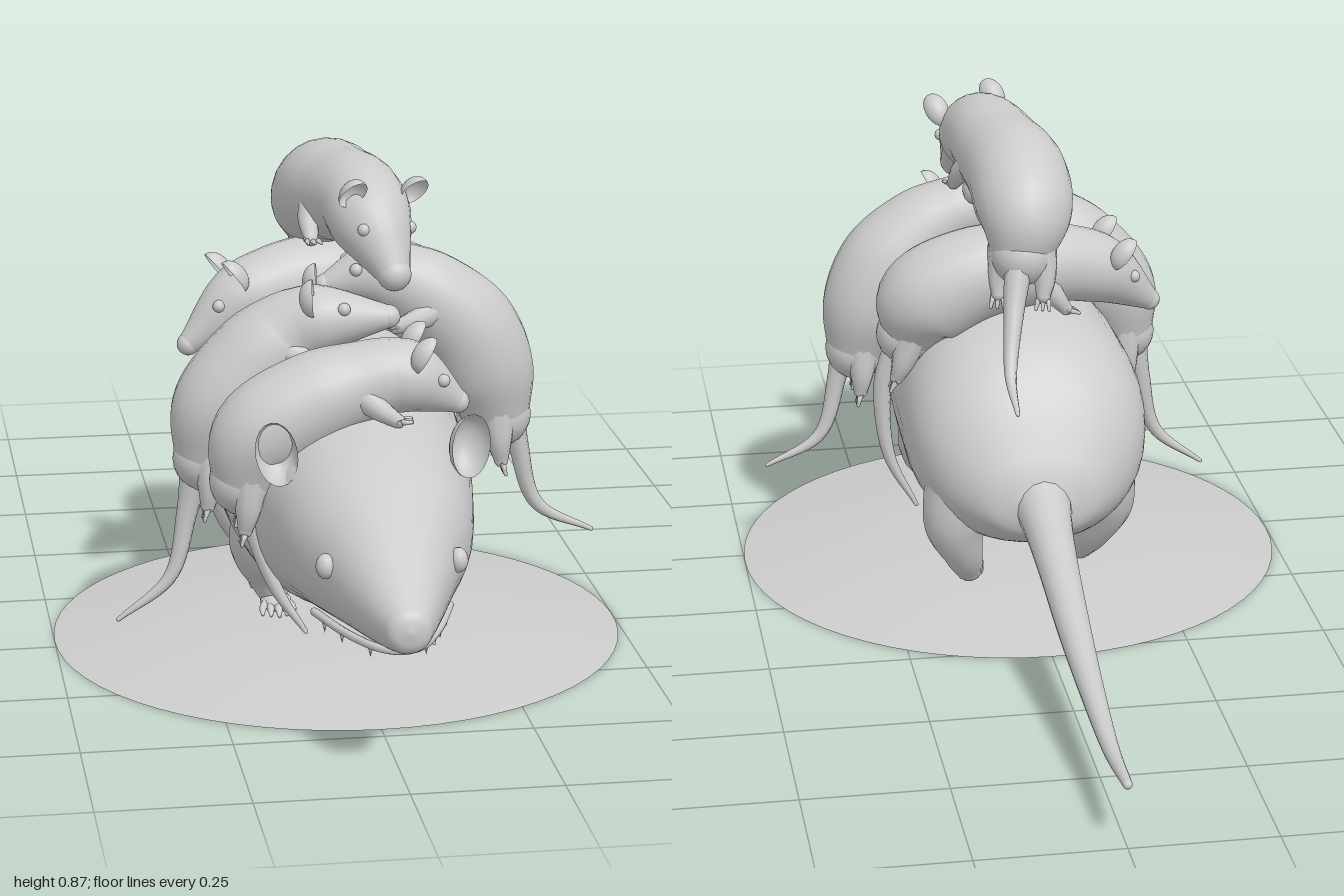
import * as THREE from 'three';
import { mergeVertices } from 'three/addons/utils/BufferGeometryUtils.js';

const V = (a) => new THREE.Vector3(a[0], a[1], a[2]);
const material = new THREE.MeshStandardMaterial({ color: 0xcccccc, roughness: 0.8 });
const thinMaterial = new THREE.MeshStandardMaterial({ color: 0xcccccc, roughness: 0.8, side: THREE.DoubleSide });

function add(parent, name, geometry, mat = material) {
  const mesh = new THREE.Mesh(geometry, mat);
  mesh.name = name;
  parent.add(mesh);
  return mesh;
}

function smooth(geometry) {
  geometry.deleteAttribute('uv');
  geometry.deleteAttribute('normal');
  const merged = mergeVertices(geometry, 1e-5);
  merged.computeVertexNormals();
  return merged;
}

function ball(parent, name, center, rx, ry = rx, rz = rx, sides = 16) {
  const mesh = add(parent, name, new THREE.SphereGeometry(1, sides, Math.ceil(sides / 2)));
  mesh.position.copy(center);
  mesh.scale.set(rx, ry, rz);
}

// Tube through [x, y, z, radius] points, with rounded ends
function limb(parent, name, pts, segments = 24, sides = 16) {
  const curve = new THREE.CatmullRomCurve3(pts.map(V), false, 'catmullrom');
  const radii = new THREE.CatmullRomCurve3(pts.map((p) => new THREE.Vector3(p[3], 0, 0)), false, 'catmullrom');
  const g = new THREE.TubeGeometry(curve, segments, 1, sides);
  const pos = g.attributes.position, v = new THREE.Vector3();
  for (let i = 0; i < pos.count; i++) {
    const u = Math.floor(i / (sides + 1)) / segments;
    const c = curve.getPointAt(u);
    const r = radii.getPoint(curve.getUtoTmapping(u)).x;
    v.fromBufferAttribute(pos, i).sub(c).multiplyScalar(r).add(c);
    pos.setXYZ(i, v.x, v.y, v.z);
  }
  add(parent, name, smooth(g));
  for (const p of [pts[0], pts[pts.length - 1]]) ball(parent, name + 'End', V(p), p[3], p[3], p[3], sides);
}

// Slightly squared oval loft along z from [z, bottom, top, halfWidth] sections
function ovalLoft(parent, name, sections) {
  const heights = new THREE.CatmullRomCurve3(sections.map(V), false, 'catmullrom');
  const widths = new THREE.CatmullRomCurve3(sections.map((s) => new THREE.Vector3(s[3], 0, 0)), false, 'catmullrom');
  const g = new THREE.PlaneGeometry(1, 1, 40, 80);
  const pos = g.attributes.position;
  const square = (n) => Math.sign(n) * Math.abs(n) ** 0.93;
  for (let i = 0; i < pos.count; i++) {
    const a = (pos.getX(i) + 0.5) * Math.PI * 2, t = pos.getY(i) + 0.5;
    const h = heights.getPoint(t), w = Math.max(widths.getPoint(t).x, 0);
    pos.setXYZ(i, square(Math.cos(a)) * w, (h.y + h.z) / 2 + square(Math.sin(a)) * (h.z - h.y) / 2, h.x);
  }
  add(parent, name, smooth(g));
}

// Cupped ear opening towards dir
function ear(parent, center, side, up, dir, w, h, depth) {
  const g = new THREE.SphereGeometry(1, 20, 8, 0, Math.PI * 2, 0, Math.PI / 2);
  g.rotateX(-Math.PI / 2).scale(w, h, depth);
  g.applyMatrix4(new THREE.Matrix4().makeBasis(side, up, dir));
  add(parent, 'ear', g, thinMaterial).position.copy(center);
}

// Young animal draped along a path; up points away from the mother's axis
function baby(parent, name, path, tail) {
  const group = new THREE.Group();
  group.name = name;
  parent.add(group);
  limb(group, 'babyBody', path, 40, 24);
  limb(group, 'babyTail', tail, 20, 8);

  const frame = (i, j) => {
    const p = V(path[i]), dir = V(path[j]).sub(p).normalize();
    const up = p.clone().sub(new THREE.Vector3(0, 0.3, p.z));
    up.addScaledVector(dir, -up.dot(dir)).normalize();
    const side = up.clone().cross(dir).normalize();
    const at = (s, u, f) => p.clone().addScaledVector(side, s).addScaledVector(up, u).addScaledVector(dir, f);
    return { dir, up, side, at, r: path[i][3] };
  };
  const n = path.length, head = frame(n - 2, n - 1), chest = frame(n - 4, n - 3), rump = frame(0, 1);
  const pt = (v, r) => [v.x, v.y, v.z, r];
  for (const s of [-1, 1]) {
    const r = head.r, c = chest.r, q = rump.r;
    ear(group, head.at(s * r * 0.9, r * 0.9, -0.02), head.side, head.up, head.dir, 0.023, 0.033, 0.024);
    ball(group, 'eye', head.at(s * r * 0.68, r * 0.46, 0.03), 0.011);
    limb(group, 'babyArm', [pt(chest.at(s * c * 0.65, -c * 0.1, 0), 0.026),
      pt(chest.at(s * c * 0.85, -c * 0.5, 0.025), 0.019),
      pt(chest.at(s * c * 0.9, -c * 0.85, 0.05), 0.012)], 10, 10);
    limb(group, 'babyLeg', [pt(rump.at(s * q * 0.5, 0, 0.02), 0.036),
      pt(rump.at(s * q * 0.75, -q * 0.2, -0.035), 0.022),
      pt(rump.at(s * q * 0.75, -q * 0.3, -0.07), 0.013)], 10, 10);
    for (let k = -1; k <= 1; k++) {
      limb(group, 'babyToe', [pt(rump.at(s * q * 0.75 + k * 0.008, -q * 0.3, -0.07), 0.006),
        pt(rump.at(s * q * 0.75 + k * 0.012, -q * 0.3, -0.095), 0.003)], 3, 6);
      limb(group, 'babyFinger', [pt(chest.at(s * c * 0.9 + k * 0.008, -c * 0.85, 0.05), 0.006),
        pt(chest.at(s * c * 0.9 + k * 0.012, -c * 0.9, 0.072), 0.003)], 3, 6);
    }
  }
}

export function createModel() {
  const model = new THREE.Group();

  // Domed round base
  const base = new THREE.Group();
  base.name = 'base';
  base.position.z = 0.22;
  model.add(base);
  const dome = [[0.5, 0], [0.42, 0.013], [0.32, 0.028], [0.22, 0.039], [0.12, 0.042], [0, 0.042]];
  add(base, 'baseTop', new THREE.LatheGeometry(dome.map((p) => new THREE.Vector2(...p)), 64));
  add(base, 'baseUnderside', new THREE.CircleGeometry(0.5, 64).rotateX(Math.PI / 2));

  // Mother: body and head in one loft
  const mother = new THREE.Group();
  mother.name = 'mother';
  model.add(mother);
  ovalLoft(mother, 'motherBody', [
    [-0.205, 0.25, 0.25, 0], [-0.195, 0.205, 0.285, 0.055], [-0.17, 0.18, 0.345, 0.115], [-0.1, 0.145, 0.455, 0.185],
    [0, 0.12, 0.525, 0.218], [0.15, 0.108, 0.545, 0.218], [0.3, 0.105, 0.535, 0.212], [0.45, 0.12, 0.515, 0.198],
    [0.58, 0.155, 0.49, 0.177], [0.7, 0.18, 0.46, 0.152], [0.8, 0.195, 0.415, 0.112],
    [0.89, 0.208, 0.36, 0.075], [0.96, 0.222, 0.315, 0.045], [0.99, 0.235, 0.297, 0.03], [1, 0.268, 0.268, 0]]);
  limb(mother, 'motherTail', [[0, 0.265, -0.12, 0.07], [0, 0.24, -0.2, 0.048], [0, 0.205, -0.32, 0.037],
    [0, 0.155, -0.5, 0.029], [0, 0.12, -0.68, 0.021], [0, 0.1, -0.85, 0.014], [0, 0.11, -0.992, 0.008]], 40);
  ball(mother, 'nose', new THREE.Vector3(0, 0.265, 0.978), 0.034, 0.02, 0.02);

  // Lips curving round the snout, with small teeth
  limb(mother, 'mouth', [[-0.112, 0.212, 0.72, 0.007], [-0.078, 0.211, 0.82, 0.007], [-0.038, 0.212, 0.9, 0.007],
    [0, 0.213, 0.925, 0.007], [0.038, 0.212, 0.9, 0.007], [0.078, 0.211, 0.82, 0.007], [0.112, 0.212, 0.72, 0.007]], 40, 8);
  for (const s of [-1, 1]) {
    for (const [x, z] of [[0.045, 0.88], [0.08, 0.81], [0.1, 0.755]]) {
      const tooth = add(mother, 'tooth', new THREE.ConeGeometry(0.006, 0.024, 8).rotateX(Math.PI));
      tooth.position.set(s * x, 0.2, z);
    }
    ball(mother, 'eye', new THREE.Vector3(s * 0.108, 0.322, 0.815), 0.016, 0.021, 0.018);
    const turn = new THREE.Euler(-0.15, s * 0.3, -s * 0.15);
    const axis = (x, y, z) => new THREE.Vector3(x, y, z).applyEuler(turn);
    ear(mother, new THREE.Vector3(s * 0.162, 0.455, 0.635), axis(1, 0, 0), axis(0, 1, 0), axis(0, 0, 1), 0.035, 0.053, 0.045);
  }

  // Legs in mid stride: side, then z of hip, knee, ankle and foot
  for (const [name, s, hip, knee, ankle, foot, r] of [
    ['frontLegLeft', 1, 0.3, 0.33, 0.375, 0.4, 0.065], ['frontLegRight', -1, 0.28, 0.25, 0.215, 0.21, 0.065],
    ['hindLegLeft', 1, -0.05, -0.055, -0.045, -0.01, 0.07], ['hindLegRight', -1, -0.02, 0, 0.02, 0.06, 0.07]]) {
    const leg = new THREE.Group();
    leg.name = name;
    mother.add(leg);
    limb(leg, 'upperLeg', [[s * 0.125, 0.26, hip, r], [s * 0.14, 0.175, knee, r * 0.82],
      [s * 0.125, 0.11, ankle, 0.037], [s * 0.11, 0.065, foot - 0.005, 0.026]]);
    ball(leg, 'foot', new THREE.Vector3(s * 0.108, 0.056, foot + 0.012), 0.028, 0.017, 0.035);
    for (let k = -2; k <= 2; k++) {
      limb(leg, 'toe', [[s * 0.108 + k * 0.009, 0.057, foot + 0.025, 0.008],
        [s * 0.108 + k * 0.013, 0.053, foot + 0.05 - Math.abs(k) * 0.006, 0.007],
        [s * 0.108 + k * 0.014, 0.045, foot + 0.064 - Math.abs(k) * 0.007, 0.003]], 6, 8);
    }
  }

  // Five young, each a body path from rump to snout and a tail path
  baby(model, 'babyFront',
    [[-0.2, 0.38, 0.525, 0.06], [-0.175, 0.46, 0.53, 0.08], [-0.085, 0.515, 0.53, 0.08], [-0.01, 0.54, 0.53, 0.07],
      [0.045, 0.552, 0.535, 0.064], [0.085, 0.545, 0.54, 0.058], [0.155, 0.505, 0.54, 0.02]],
    [[-0.195, 0.36, 0.52, 0.025], [-0.185, 0.29, 0.52, 0.016], [-0.15, 0.19, 0.53, 0.011], [-0.1, 0.112, 0.54, 0.004]]);
  baby(model, 'babySecond',
    [[-0.245, 0.37, 0.36, 0.058], [-0.22, 0.455, 0.36, 0.085], [-0.16, 0.535, 0.36, 0.085], [-0.11, 0.58, 0.365, 0.076],
      [-0.08, 0.602, 0.375, 0.066], [-0.04, 0.615, 0.39, 0.056], [0.06, 0.62, 0.41, 0.02]],
    [[-0.265, 0.35, 0.36, 0.026], [-0.28, 0.27, 0.36, 0.018], [-0.31, 0.16, 0.365, 0.012], [-0.4, 0.087, 0.365, 0.004]]);
  baby(model, 'babyThird',
    [[0.275, 0.4, 0.27, 0.06], [0.255, 0.475, 0.27, 0.085], [0.22, 0.555, 0.275, 0.088], [0.16, 0.615, 0.28, 0.078],
      [0.11, 0.645, 0.28, 0.067], [0.05, 0.66, 0.28, 0.056], [-0.03, 0.645, 0.285, 0.02]],
    [[0.3, 0.42, 0.27, 0.026], [0.315, 0.34, 0.27, 0.018], [0.35, 0.23, 0.265, 0.012], [0.45, 0.176, 0.262, 0.004]]);
  baby(model, 'babyRear',
    [[0.205, 0.485, 0.1, 0.055], [0.17, 0.55, 0.09, 0.09], [0.08, 0.6, 0.08, 0.085], [-0.02, 0.61, 0.085, 0.075],
      [-0.1, 0.6, 0.105, 0.069], [-0.165, 0.575, 0.12, 0.06], [-0.25, 0.51, 0.14, 0.02]],
    [[0.22, 0.47, 0.1, 0.025], [0.25, 0.38, 0.1, 0.017], [0.24, 0.25, 0.1, 0.011], [0.19, 0.147, 0.1, 0.004]]);
  baby(model, 'babyTop',
    [[0.01, 0.66, -0.005, 0.055], [0, 0.725, 0.025, 0.085], [0, 0.77, 0.1, 0.09], [0.015, 0.785, 0.2, 0.083],
      [0.03, 0.795, 0.29, 0.074], [0.04, 0.768, 0.365, 0.068], [0.065, 0.7, 0.435, 0.029]],
    [[0.02, 0.65, -0.03, 0.026], [0.035, 0.57, -0.07, 0.018], [0.05, 0.48, -0.13, 0.011], [0.05, 0.437, -0.21, 0.004]]);

  return model;
}
